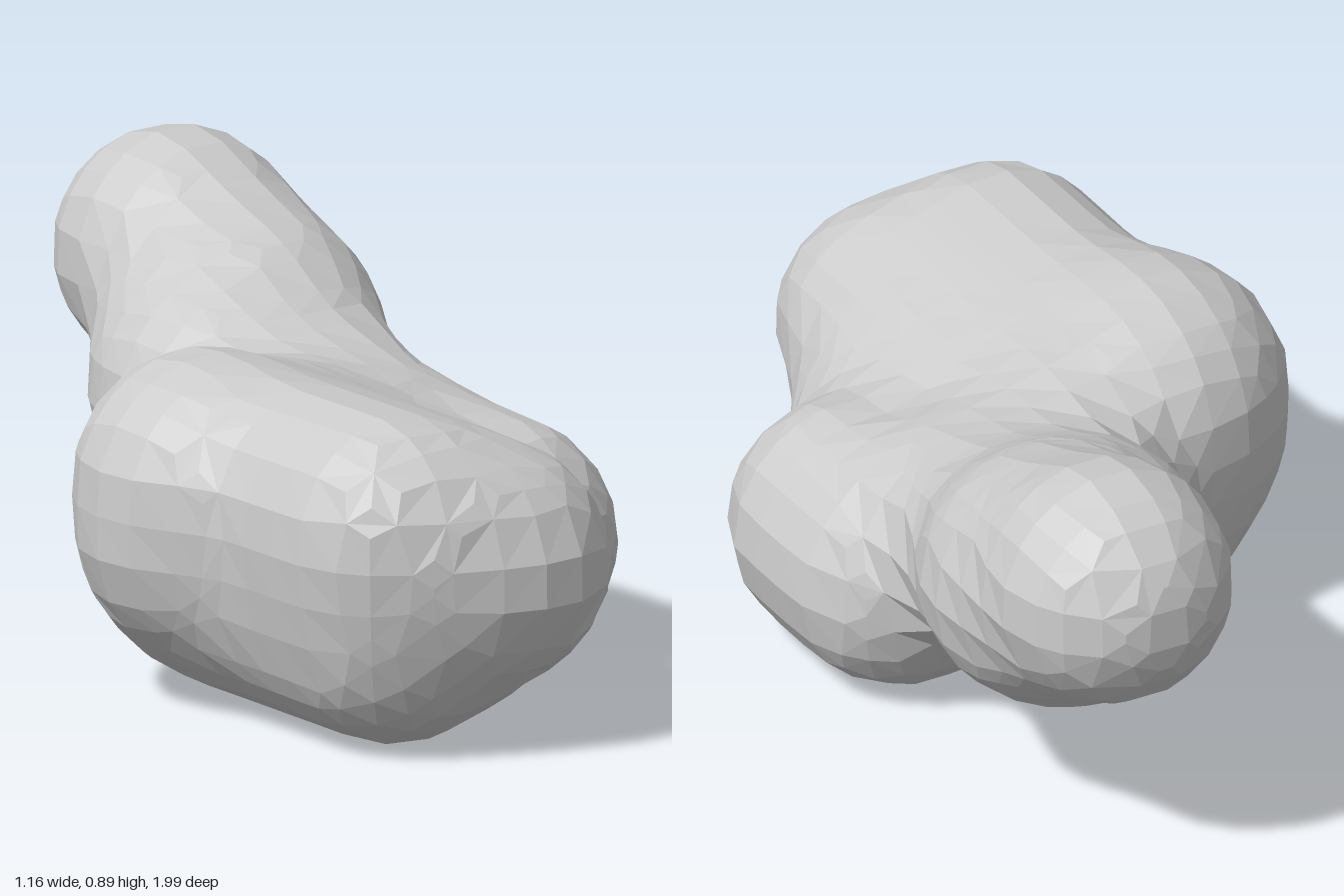
import * as THREE from 'three';

// Rounded lobes as capsules: start, end, radius
const LOBES = [
  [[-0.335, 0.36, 0.16], [-0.335, 0.455, 0.16], 0.243], // right shoulder
  [[-0.235, 0.45, 0.085], [-0.24, 0.45, 0.67], 0.245],  // upper ridge
  [[-0.19, 0.25, 0.1], [-0.205, 0.25, 0.64], 0.247],    // lower right ridge
  [[-0.05, 0.375, 0.75], [-0.03, 0.37, 0.1], 0.25],     // nose and middle
  [[0.325, 0.257, 0.1], [0.325, 0.257, 0.28], 0.255],   // left side lobe
  [[0.06, 0.255, 0.1], [0.06, 0.255, 0.5], 0.247],      // underside filling
  [[0.0, 0.38, 0.02], [0.14, 0.43, -0.35], 0.21],       // neck, right half
  [[0.23, 0.37, 0.0], [0.31, 0.5, -0.46], 0.21],        // neck, left half
  [[0.155, 0.45, -0.41], [0.165, 0.455, -0.45], 0.242], // knuckle under the arm
  [[0.31, 0.53, -0.5], [0.32, 0.643, -0.75], 0.252],    // raised arm
];
const BLEND = 0.11;
const CELL = 0.09;
const MIN = [-0.85, -0.25, -1.25];
const COUNT = [20, 16, 29];

function capsule(p, [a, b, r]) {
  const d = b.map((v, i) => v - a[i]);
  const q = p.map((v, i) => v - a[i]);
  const len = d[0] ** 2 + d[1] ** 2 + d[2] ** 2;
  const t = THREE.MathUtils.clamp((q[0] * d[0] + q[1] * d[1] + q[2] * d[2]) / len, 0, 1);
  return Math.hypot(q[0] - t * d[0], q[1] - t * d[1], q[2] - t * d[2]) - r;
}

// Smoothly blended distance to all lobes
function field(p) {
  let f = 10;
  for (const lobe of LOBES) {
    const g = capsule(p, lobe);
    const h = Math.max(BLEND - Math.abs(f - g), 0) / BLEND;
    f = Math.min(f, g) - h * h * BLEND / 4;
  }
  return f;
}

// Slide a point along the gradient onto the surface
function project(p) {
  const e = 0.002;
  for (let n = 0; n < 3; n++) {
    const f = field(p);
    const g = [0, 1, 2].map((i) => {
      const q = p.slice();
      q[i] += e;
      return (field(q) - f) / e;
    });
    const s = f / Math.max(g[0] ** 2 + g[1] ** 2 + g[2] ** 2, 0.3);
    p = p.map((v, i) => v - s * g[i]);
  }
  return p;
}

// Coarse faceted skin: one vertex per crossed cell, one quad per crossed edge
function skin() {
  const [nx, ny, nz] = COUNT;
  const id = (c) => c[0] + nx * (c[1] + ny * c[2]);
  const at = (c) => c.map((v, i) => MIN[i] + v * CELL);
  const each = (fn) => {
    for (let k = 1; k < nz - 1; k++)
      for (let j = 1; j < ny - 1; j++)
        for (let i = 1; i < nx - 1; i++) fn([i, j, k]);
  };
  const step = (c, axis, n) => c.map((v, i) => (i === axis ? v + n : v));

  const values = [];
  for (let k = 0; k < nz; k++)
    for (let j = 0; j < ny; j++)
      for (let i = 0; i < nx; i++) values.push(field(at([i, j, k])));

  const positions = [];
  const vertexOf = new Map();
  each((c) => {
    const sum = [0, 0, 0];
    let hits = 0;
    for (let axis = 0; axis < 3; axis++) {
      for (let m = 0; m < 4; m++) {
        const a = step(step(c, (axis + 1) % 3, m & 1), (axis + 2) % 3, m >> 1);
        const fa = values[id(a)];
        const fb = values[id(step(a, axis, 1))];
        if ((fa < 0) === (fb < 0)) continue;
        at(step(a, axis, fa / (fa - fb))).forEach((v, i) => { sum[i] += v; });
        hits++;
      }
    }
    if (!hits) return;
    vertexOf.set(id(c), positions.length / 3);
    positions.push(...project(sum.map((v) => v / hits)));
  });

  const index = [];
  each((c) => {
    for (let axis = 0; axis < 3; axis++) {
      const inside = values[id(c)] < 0;
      if (inside === values[id(step(c, axis, 1))] < 0) continue;
      const b = (axis + 1) % 3;
      const d = (axis + 2) % 3;
      const quad = [step(step(c, b, -1), d, -1), step(c, d, -1), c, step(c, b, -1)]
        .map((q) => vertexOf.get(id(q)));
      if (!inside) quad.reverse();
      index.push(quad[0], quad[1], quad[2], quad[0], quad[2], quad[3]);
    }
  });

  const geometry = new THREE.BufferGeometry();
  geometry.setAttribute('position', new THREE.Float32BufferAttribute(positions, 3));
  geometry.setIndex(index);
  geometry.computeVertexNormals();
  return geometry;
}

export function createModel() {
  const body = new THREE.Mesh(
    skin(),
    new THREE.MeshStandardMaterial({ color: 0xcccccc, flatShading: true }),
  );
  body.name = 'blobBody';
  const model = new THREE.Group();
  model.name = 'lobedBlob';
  model.add(body);
  return model;
}
